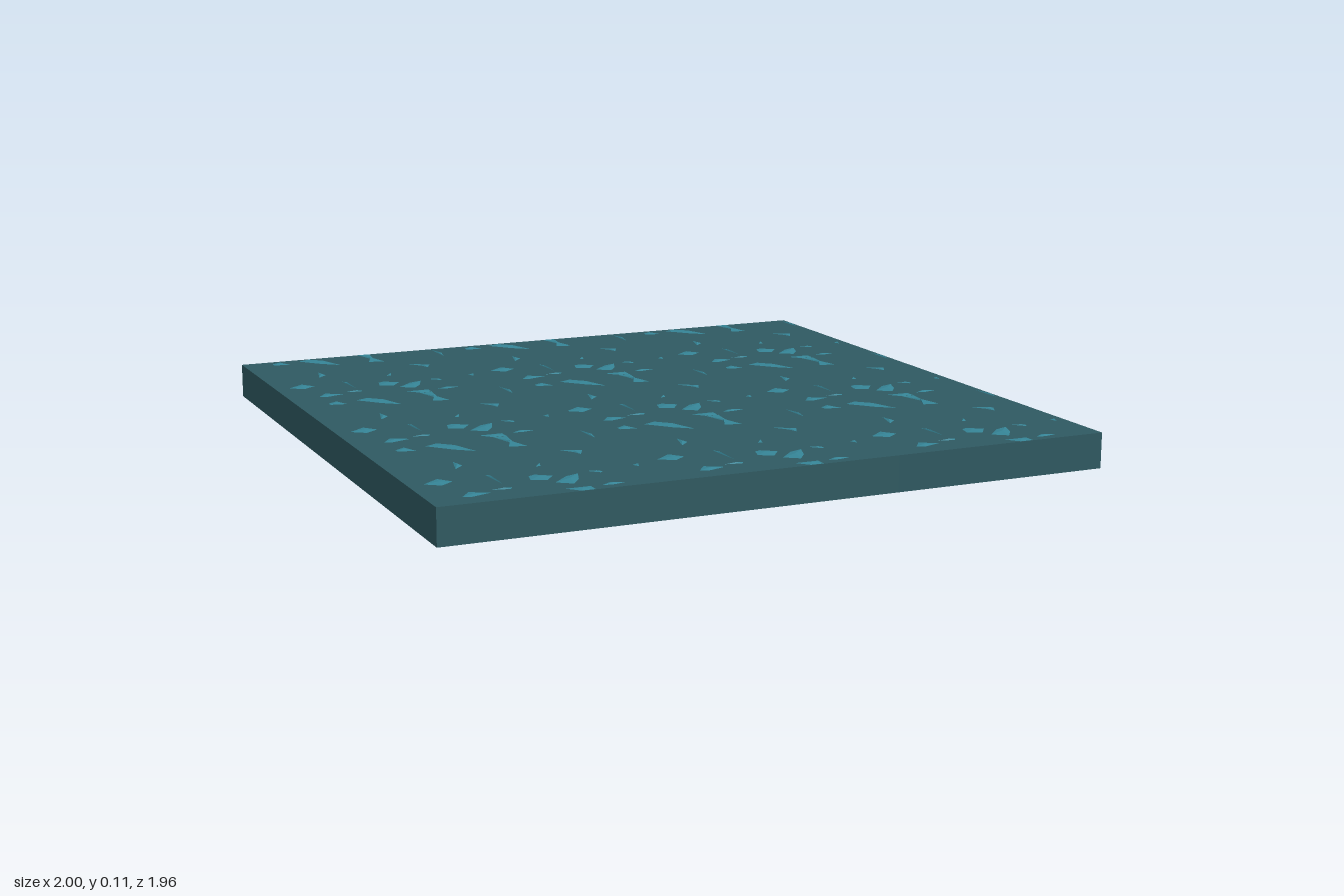
import * as THREE from 'three';
import { mergeGeometries } from 'three/addons/utils/BufferGeometryUtils.js';

const W = 2 / 3, D = 0.652, H = 0.105;

// Outlines of the crystals on one tile, as x, z pairs in hundredths
const OUTLINES = [
  [-24, -29, -21, -31, -19, -26, -24, -27],
  [-15, -30, -11, -32, -7, -28, -4, -19, -9, -23],
  [6, -32.5, 10, -32.5, 9, -24, 11, -19, 6, -20, 8, -25],
  [3, 29, 10, 29, 10, 32.5, 6, 32.5],
  [13, 29.5, 16, 27.5, 20, 29, 16, 30],
  [-16, -2, -14, -10, -13, -5],
  [17, -11, 21, -7.5, 23, -8, 21, -4, 20, -7],
  [4.5, 4, 7, 0.5, 6, 4],
  [-29, 10, -24, 6, -21, 10, -25, 13],
  [-11, 7, -10, 8, -10, 18],
  [-1, 13, 1, 12, 5, 15, 2, 19, -2, 17],
  [3, 22, 8, 17, 12, 15.5, 10, 21, 7, 25],
  [-24, 26, -21, 22, -16, 25, -22, 27],
  [-15, 22.5, -9, 22, -10, 23.5],
  [15, 14, 19, 16, 18, 17],
  [29, 13, 31, 12, 30, 15],
  [31.5, -31, 33, -25, 32, -20],
];

function triangles(points) {
  const g = new THREE.BufferGeometry().setFromPoints(points);
  g.computeVertexNormals();
  return g;
}

// Shallow facets rising above and below the tile's top sheet
function crystal(list) {
  const ring = [];
  for (let i = 0; i < list.length; i += 2) ring.push(new THREE.Vector2(list[i] / 100, list[i + 1] / 100));
  if (THREE.ShapeUtils.area(ring) < 0) ring.reverse();
  const c = ring.reduce((s, p) => s.add(p), new THREE.Vector2()).divideScalar(ring.length);
  const at = (p, y) => new THREE.Vector3(p.x, y, p.y);
  const pts = [];
  ring.forEach((p, i) => {
    const q = ring[(i + 1) % ring.length];
    pts.push(at(c, H + 0.004), at(q, H + 0.0005), at(p, H + 0.0005));
    pts.push(at(c, H - 0.004), at(p, H - 0.0005), at(q, H - 0.0005));
  });
  return triangles(pts);
}

export function createModel() {
  const model = new THREE.Group();
  model.name = 'crystalFloor';
  const material = (color) => new THREE.MeshStandardMaterial({ color, flatShading: true, side: THREE.DoubleSide });
  const stone = material(0x2f5a62), gem = material(0x358496);

  const top = new THREE.PlaneGeometry(W, D).rotateX(-Math.PI / 2).translate(0, H, 0);
  // Four thin walls round the open underside
  const frontWall = new THREE.PlaneGeometry(W, H).translate(0, H / 2, D / 2);
  const sideWall = new THREE.PlaneGeometry(D, H).rotateY(Math.PI / 2).translate(W / 2, H / 2, 0);
  const walls = mergeGeometries([
    frontWall, frontWall.clone().rotateY(Math.PI),
    sideWall, sideWall.clone().rotateY(Math.PI),
  ]);
  const crystals = mergeGeometries(OUTLINES.map(crystal));
  // Slanting vein in the side wall
  const x = W / 2 + 0.0005;
  const vein = triangles([
    new THREE.Vector3(x, 0, 0.05), new THREE.Vector3(x, H, -0.11), new THREE.Vector3(x, H, -0.03),
  ]);

  for (let row = -1; row <= 1; row++) {
    for (let col = -1; col <= 1; col++) {
      const tile = new THREE.Group();
      tile.name = 'tile';
      tile.position.set(col * W, 0, row * D);
      const add = (name, geometry, mat) => {
        const mesh = new THREE.Mesh(geometry, mat);
        mesh.name = name;
        tile.add(mesh);
      };
      add('topSheet', top, stone);
      add('walls', walls, stone);
      add('crystals', crystals, gem);
      add('wallVein', vein, gem);
      model.add(tile);
    }
  }
  return model;
}
